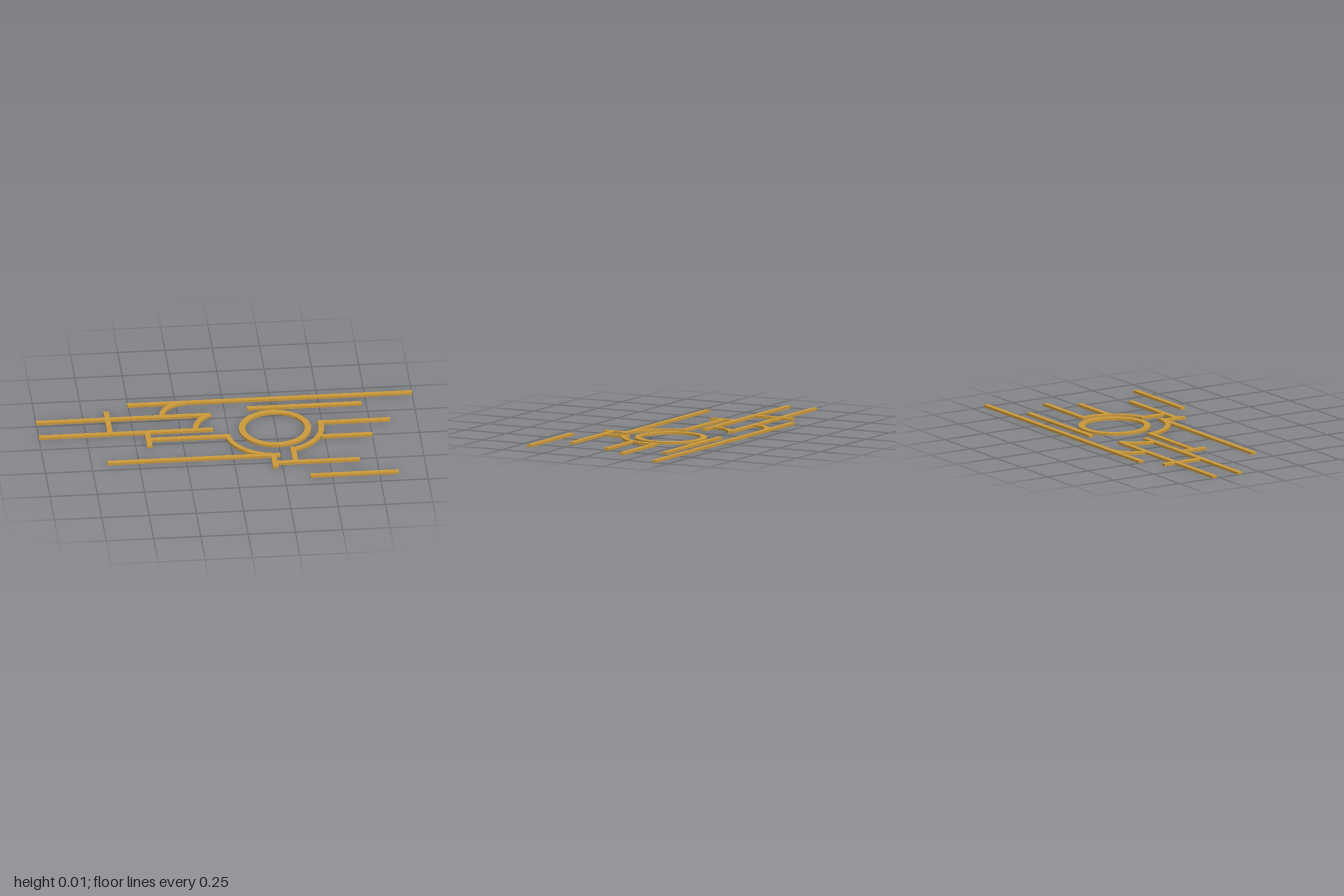
import * as THREE from 'three';

const H = 0.013; // plate thickness
const W = 0.028; // strip width
const gold = new THREE.MeshStandardMaterial({ color: 0xc9983a });

export function createModel() {
  const root = new THREE.Group();

  function add(name, geometry) {
    const mesh = new THREE.Mesh(geometry, gold);
    mesh.name = name;
    root.add(mesh);
    return mesh;
  }

  // Straight strip filling a rectangle on the ground plane
  function strip(name, x0, x1, z0, z1) {
    const mesh = add(name, new THREE.BoxGeometry(x1 - x0, H, z1 - z0));
    mesh.position.set((x0 + x1) / 2, H / 2, (z0 + z1) / 2);
  }

  // Extrudes a flat shape (drawn in x, -z) upwards
  function plate(name, shape, x, z) {
    const geometry = new THREE.ExtrudeGeometry(shape, { depth: H, bevelEnabled: false, curveSegments: 48 });
    geometry.rotateX(-Math.PI / 2);
    add(name, geometry).position.set(x, 0, z);
  }

  // Curved strip; angles in degrees, 90 points to the back (-z)
  function arc(name, x, z, r, from, to) {
    const a = THREE.MathUtils.degToRad(from), b = THREE.MathUtils.degToRad(to);
    const shape = new THREE.Shape();
    shape.absarc(0, 0, r + W / 2, a, b, false);
    shape.absarc(0, 0, r - W / 2, b, a, true);
    shape.closePath();
    plate(name, shape, x, z);
  }

  // Strips along x: [x start, x end, z centre]
  [
    [-0.505, 1, -0.418], [0.12, 0.725, -0.327],
    [-1, -0.08, -0.277], [-1, -0.08, -0.12],
    [-0.42, 0.005, -0.041], [-0.665, 0.247, 0.184],
    [0.211, 0.66, 0.267], [0.48, 0.751, 0.007],
    [0.485, 0.858, -0.142], [0.385, 0.85, 0.418],
  ].forEach(([x0, x1, z], i) => strip(`longStrip${i + 1}`, x0, x1, z - W / 2, z + W / 2));

  // Cross strips along z: [x centre, z start, z end]
  [
    [-0.623, -0.355, -0.12], [-0.428, -0.12, 0.034],
    [0.211, 0.18, 0.315], [0.321, 0.11, 0.267],
  ].forEach(([x, z0, z1], i) => strip(`crossStrip${i + 1}`, x - W / 2, x + W / 2, z0, z1));

  // Central ring
  const ring = new THREE.Shape().absarc(0, 0, 0.19, 0, Math.PI * 2, false);
  ring.holes.push(new THREE.Path().absarc(0, 0, 0.157, 0, Math.PI * 2, true));
  plate('ring', ring, 0.246, -0.101);

  // Curved connectors
  arc('rightArc', 0.246, -0.101, 0.244, -75, 12);
  arc('lowerLeftArc', 0.243, -0.072, 0.256, 184, 270);
  arc('upperArc', -0.2, -0.279, 0.134, 90, 180);
  arc('middleArc', 0.011, -0.121, 0.182, 120, 180);

  return root;
}
